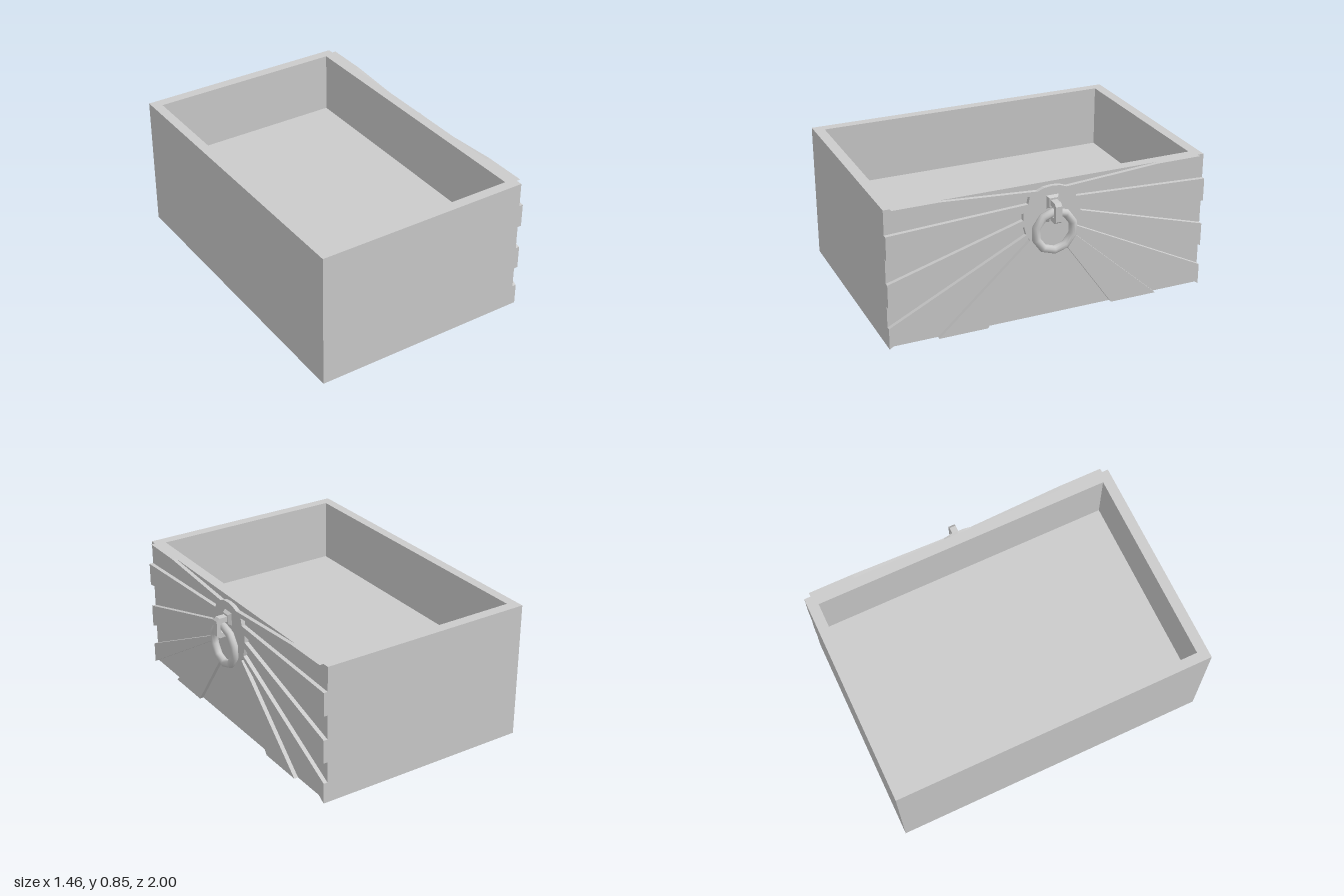
import * as THREE from 'three';

const material = new THREE.MeshStandardMaterial({ color: 0xcccccc });
const FRONT = 0.61; // x of the recessed front panel
const RELIEF = 0.025; // height of the carved rays

function addMesh(parent, name, geometry) {
  const mesh = new THREE.Mesh(geometry, material);
  mesh.name = name;
  parent.add(mesh);
  return mesh;
}

// Skin a series of rectangular sections [x0, x1, half depth, y] with flat faces
function rectLoft(sections) {
  const loops = sections.map(([x0, x1, z, y]) => [
    [x0, y, z], [x1, y, z], [x1, y, -z], [x0, y, -z],
  ]);
  const positions = [];
  for (let i = 0; i < loops.length - 1; i++) {
    for (let j = 0; j < 4; j++) {
      const k = (j + 1) % 4;
      const a = loops[i][j], b = loops[i][k], c = loops[i + 1][k], d = loops[i + 1][j];
      positions.push(...a, ...b, ...c, ...a, ...c, ...d);
    }
  }
  const geometry = new THREE.BufferGeometry();
  geometry.setAttribute('position', new THREE.Float32BufferAttribute(positions, 3));
  geometry.computeVertexNormals();
  return geometry;
}

function toShape(points) {
  return new THREE.Shape(points.map(([x, y]) => new THREE.Vector2(x, y)));
}

export function createModel() {
  const model = new THREE.Group();
  model.name = 'drawer';

  // Open box with a raised floor and a shallow recess underneath
  addMesh(model, 'drawerBox', rectLoft([
    [-0.045, -0.045, 0, 0.12],
    [-0.585, 0.495, 0.86, 0.12],
    [-0.585, 0.495, 0.86, 0],
    [-0.73, FRONT, 1, 0],
    [-0.73, FRONT, 1, 0.85],
    [-0.67, 0.545, 0.935, 0.85],
    [-0.67, 0.545, 0.935, 0.46],
    [-0.06, -0.06, 0, 0.46],
  ]));

  // Sunburst relief: hub and rays as one outline, mirrored across the middle
  const half = [
    [0.05, 0.825], [0.09, 0.81], [0.68, 0.85], [0.96, 0.85],
    [0.14, 0.785], [0.15, 0.74], [1, 0.7], [1, 0.555],
    [0.18, 0.69], [0.18, 0.645], [1, 0.405], [1, 0.26],
    [0.175, 0.605], [0.16, 0.55], [1, 0.13], [1, 0],
    [0.15, 0.53], [0.135, 0.51], [0.7, 0], [0.4, 0], [0.085, 0.45],
  ];
  const mirrored = half.map(([u, v]) => [-u, v]).reverse();
  const outline = [[0, 0.83], ...half, [0, 0.44], ...mirrored];
  const relief = new THREE.ExtrudeGeometry(toShape(outline), { depth: RELIEF, bevelEnabled: false });
  relief.rotateY(Math.PI / 2).translate(FRONT, 0, 0);
  addMesh(model, 'sunburstRelief', relief);

  const handle = new THREE.Group();
  handle.name = 'handle';
  model.add(handle);

  // Tapered mounting plates at both ends of the bracket
  for (const [name, y, height] of [['upperPlate', 0.735, 0.08], ['lowerPlate', 0.64, 0.06]]) {
    const plate = new THREE.CylinderGeometry(0.7, 1, 0.02, 4, 1).toNonIndexed();
    plate.rotateY(Math.PI / 4).rotateZ(-Math.PI / 2);
    plate.scale(1, height / Math.SQRT2, 0.075 / Math.SQRT2);
    plate.computeVertexNormals();
    addMesh(handle, name, plate).position.set(FRONT + RELIEF + 0.01, y, 0);
  }

  // C-shaped bracket that holds the ring
  const bracket = new THREE.ExtrudeGeometry(toShape([
    [0.64, 0.72], [0.69, 0.72], [0.7, 0.71], [0.7, 0.665], [0.69, 0.655], [0.64, 0.655],
    [0.64, 0.63], [0.705, 0.625], [0.725, 0.64], [0.725, 0.735], [0.707, 0.752], [0.64, 0.752],
  ]), { depth: 0.04, bevelEnabled: false });
  addMesh(handle, 'bracket', bracket.translate(0, 0, -0.02));

  // Hanging ten-sided pull ring
  const ring = new THREE.TorusGeometry(0.12, 0.025, 10, 10);
  ring.rotateZ(Math.PI / 2).rotateY(Math.PI / 2);
  addMesh(handle, 'pullRing', ring).position.set(0.67, 0.565, 0);

  return model;
}
